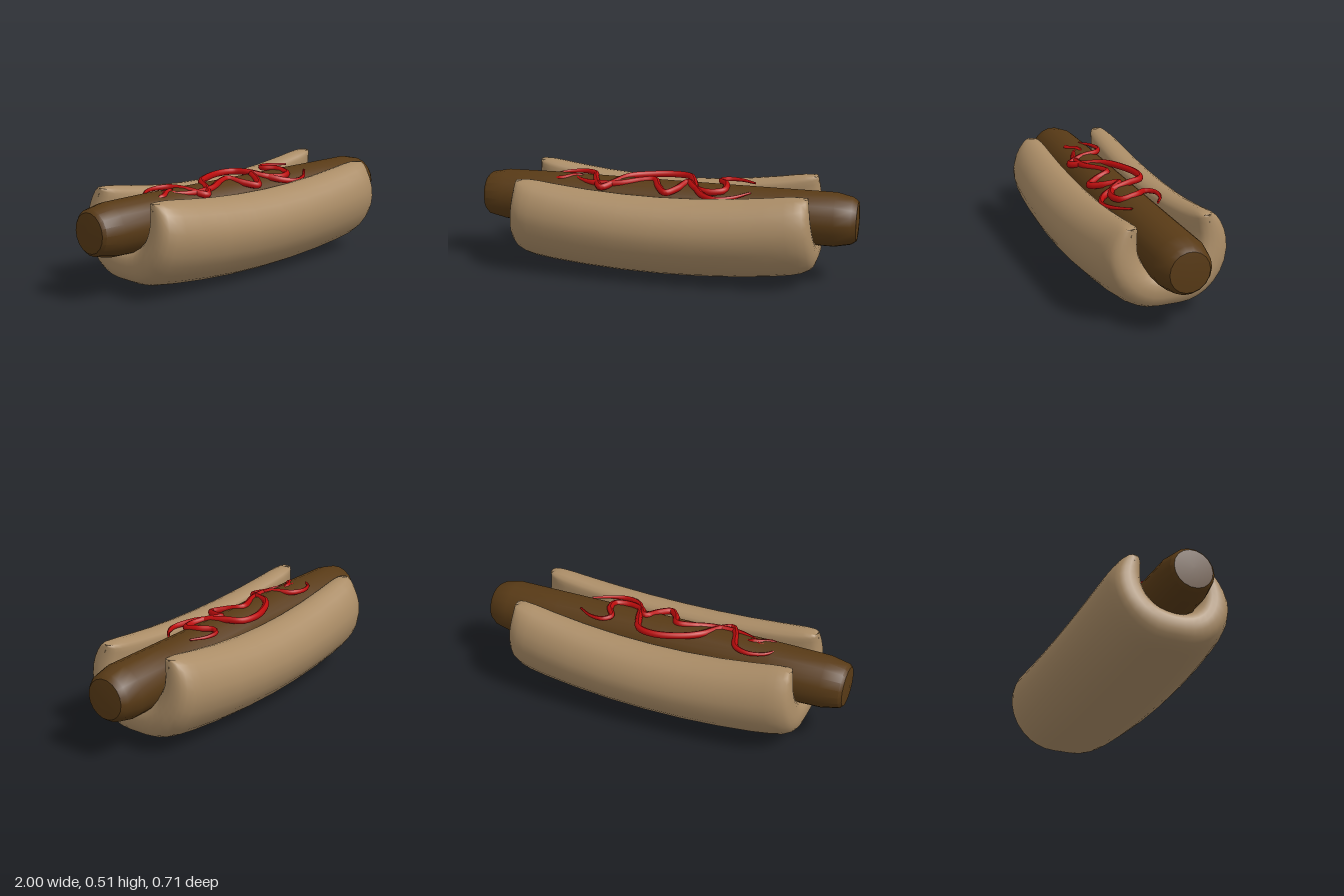
import * as THREE from 'three';
import { mergeVertices, toCreasedNormals } from 'three/addons/utils/BufferGeometryUtils.js';

const mat = (color) => new THREE.MeshStandardMaterial({ color, roughness: 0.8 });

// Half of the U-shaped bun section as [z, y], from the bottom centre to the lip
const OUTER = [[0, 0], [0.11, 0.005], [0.22, 0.05], [0.32, 0.15], [0.357, 0.27], [0.325, 0.37], [0.265, 0.425]];
const INNER = [[0, 0.19], [0.08, 0.205], [0.122, 0.25], [0.14, 0.3], [0.142, 0.34], [0.141, 0.38], [0.148, 0.42]];
const LIP = [0.2, 0.443];
const LIP_CORE = [0.215, 0.38];

// Closed section outline; t shrinks it onto the middle line of the dough
function bunSection(x, t, count) {
  const u2 = (x / 0.75) ** 2;
  const place = (p, core, side) => {
    let z = core[0] + (p[0] - core[0]) * t;
    let y = core[1] + (p[1] - core[1]) * t;
    if (z > 0.15) z -= (z - 0.15) * 0.17 * u2;
    y += u2 * (side > 0 ? 0.055 : 0.055 + 0.04 * y);
    return new THREE.Vector3(x * (1 - 0.17 * Math.max(0, y - 0.2)), y, z * side);
  };
  const mid = OUTER.map((o, i) => [(o[0] + INNER[i][0]) / 2, (o[1] + INNER[i][1]) / 2]);
  const pts = [];
  const n = OUTER.length;
  for (let i = 0; i < n; i++) pts.push(place(OUTER[i], mid[i], 1));
  pts.push(place(LIP, LIP_CORE, 1));
  for (let i = n - 1; i >= 0; i--) pts.push(place(INNER[i], mid[i], 1));
  for (let i = 1; i < n; i++) pts.push(place(INNER[i], mid[i], -1));
  pts.push(place(LIP, LIP_CORE, -1));
  for (let i = n - 1; i > 0; i--) pts.push(place(OUTER[i], mid[i], -1));
  // two samples per control span
  const curve = new THREE.CatmullRomCurve3(pts, true, 'centripetal');
  return Array.from({ length: count }, (_, k) => curve.getPoint(k / count));
}

function bunGeometry() {
  const count = 60;
  // [x, thickness]: full along the length, rounded over at the ends
  const half = [[0.2, 1], [0.4, 1], [0.58, 1], [0.68, 0.98], [0.73, 0.92], [0.77, 0.78], [0.79, 0.58], [0.8, 0.3], [0.802, 0]];
  const stations = [...half.map(([x, t]) => [-x, t]).reverse(), [0, 1], ...half];
  const pos = [];
  const index = [];
  stations.forEach(([x, t], s) => {
    for (const p of bunSection(x, t, count)) pos.push(p.x, p.y, p.z);
    if (s === 0) return;
    for (let k = 0; k < count; k++) {
      const a = (s - 1) * count + k;
      const b = (s - 1) * count + ((k + 1) % count);
      index.push(a, a + count, b, b, a + count, b + count);
    }
  });
  const g = new THREE.BufferGeometry();
  g.setAttribute('position', new THREE.Float32BufferAttribute(pos, 3));
  g.setIndex(index);
  const merged = mergeVertices(g, 1e-4);
  merged.computeVertexNormals();
  return merged;
}

function sausageGeometry() {
  const profile = [
    [0, -1], [0.1, -0.99], [0.115, -0.975], [0.134, -0.88], [0.139, -0.6], [0.138, 0],
    [0.139, 0.6], [0.14, 0.88], [0.122, 0.965], [0.102, 0.992], [0, 1],
  ].map(([r, y]) => new THREE.Vector2(r, y));
  const g = new THREE.LatheGeometry(profile, 18);
  g.rotateZ(-Math.PI / 2);
  // slight droop to one end
  const p = g.attributes.position;
  for (let i = 0; i < p.count; i++) p.setY(i, p.getY(i) + 0.34 - 0.009 * p.getX(i));
  return toCreasedNormals(g, 0.6);
}

// Sauce strand through [x, z] points, tapering to thin ends
function sauceGeometry(path, radius) {
  const pts = path.map(([x, z]) => new THREE.Vector3(x, 0.478 - Math.max(0, z) * 0.22 - 0.015 * x * x, z));
  const curve = new THREE.CatmullRomCurve3(pts);
  const segs = path.length * 8;
  const sides = 8;
  const g = new THREE.TubeGeometry(curve, segs, radius, sides, false);
  const p = g.attributes.position;
  const v = new THREE.Vector3();
  for (let i = 0; i < p.count; i++) {
    const t = Math.floor(i / (sides + 1)) / segs;
    const c = curve.getPointAt(t);
    const k = Math.min(1, 0.3 + 3.5 * Math.min(t, 1 - t));
    v.fromBufferAttribute(p, i).sub(c).multiplyScalar(k).add(c);
    p.setXYZ(i, v.x, v.y, v.z);
  }
  g.computeVertexNormals();
  return g;
}

export function createModel() {
  const model = new THREE.Group();
  model.name = 'hotDog';
  const add = (name, geometry, material, parent = model) => {
    const mesh = new THREE.Mesh(geometry, material);
    mesh.name = name;
    parent.add(mesh);
  };

  add('bun', bunGeometry(), mat(0xaa8c66));
  add('sausage', sausageGeometry(), mat(0x583a16));

  // Sauce squiggles on top of the sausage
  const sauce = new THREE.Group();
  sauce.name = 'sauce';
  model.add(sauce);
  const red = mat(0xbb0c0c);
  red.side = THREE.DoubleSide;
  const strands = [
    [[-0.62, -0.02], [-0.57, -0.075], [-0.49, -0.1], [-0.42, -0.075], [-0.38, 0.03], [-0.33, 0.115], [-0.28, 0.06],
      [-0.22, -0.04], [-0.13, -0.1], [0, -0.138], [0.09, -0.12], [0.13, -0.04], [0.17, 0.07], [0.22, 0.135],
      [0.29, 0.16], [0.37, 0.13], [0.45, 0.065]],
    [[-0.61, 0.06], [-0.57, 0.02], [-0.52, 0], [-0.46, 0.045], [-0.37, 0.072], [-0.24, 0.06], [-0.14, 0.015],
      [-0.07, 0], [-0.03, 0.075], [0.02, 0.13], [0.07, 0.075], [0.11, 0], [0.16, 0.06], [0.24, 0.09],
      [0.31, 0.065], [0.31, -0.01], [0.27, -0.075], [0.3, -0.115], [0.37, -0.115], [0.45, -0.07]],
    [[-0.61, 0.05], [-0.56, 0.045], [-0.51, 0.015], [-0.45, 0]],
  ];
  strands.forEach((path, i) => add(`sauceStrand${i + 1}`, sauceGeometry(path, 0.018), red, sauce));
  return model;
}
